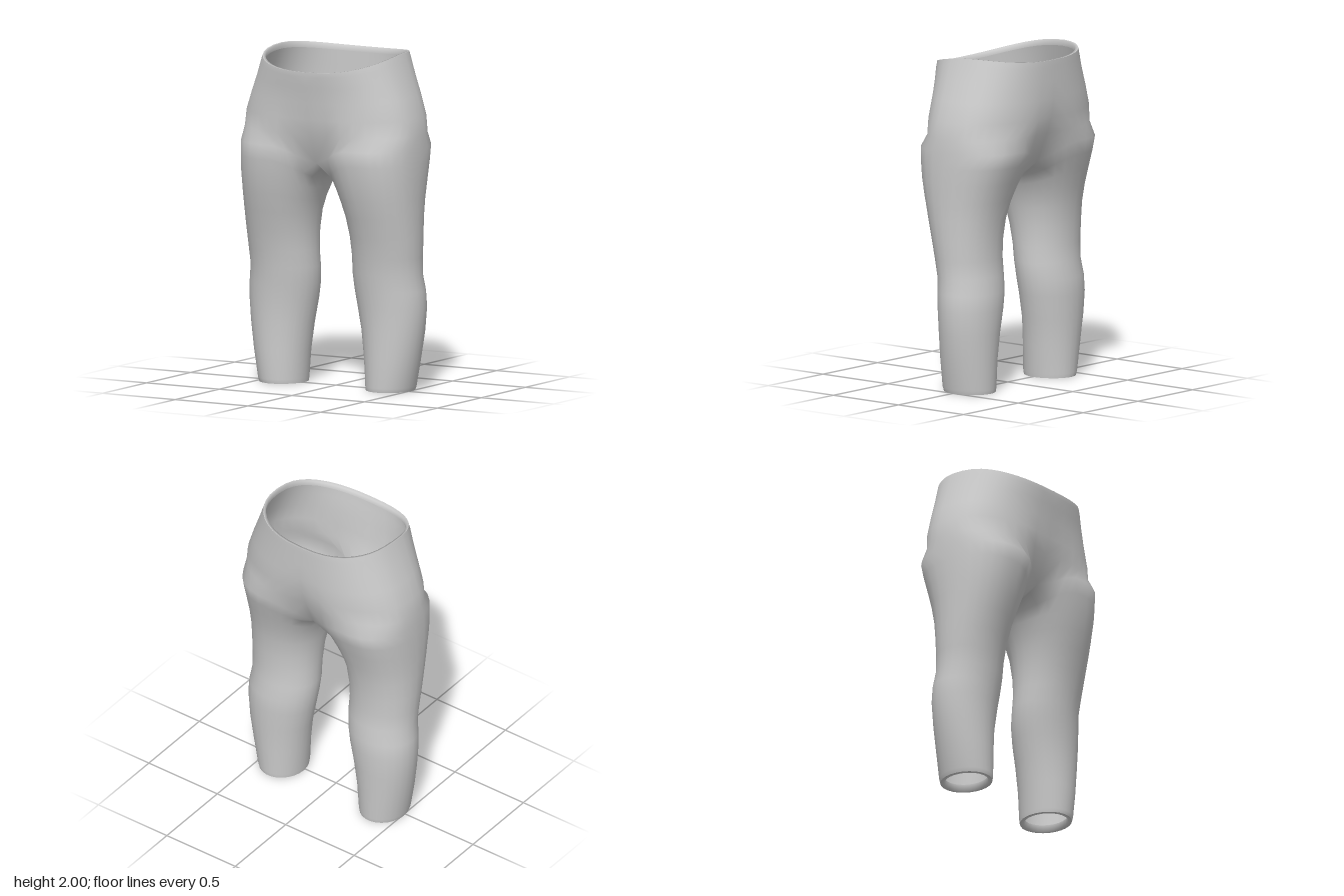
import * as THREE from 'three';
import { mergeGeometries, mergeVertices } from 'three/addons/utils/BufferGeometryUtils.js';

const OUTER = 20;           // steps round the outside, centre front to centre back
const INNER = 6;            // steps round the inner thigh
const RING = OUTER + INNER;
const START = -50;          // angle where the inner thigh meets the centre front

// Leg sections: y, inner x, outer x, front z, back z, inner dip, roundness power
const LEG = [
  [0.005, 0.225, 0.508, 0.145, -0.178, 0, 1],
  [0.03, 0.222, 0.516, 0.15, -0.182, 0, 1],
  [0.2, 0.208, 0.548, 0.15, -0.188, 0, 1],
  [0.36, 0.186, 0.573, 0.147, -0.198, 0, 1],
  [0.5, 0.158, 0.585, 0.152, -0.206, 0, 1],
  [0.6, 0.142, 0.58, 0.162, -0.205, 0, 1],
  [0.7, 0.135, 0.566, 0.172, -0.19, 0, 1],
  [0.8, 0.14, 0.57, 0.187, -0.185, 0, 0.98],
  [0.92, 0.135, 0.575, 0.212, -0.19, 0, 0.96],
  [1.04, 0.12, 0.576, 0.245, -0.204, 0.01, 0.94],
  [1.15, 0.098, 0.578, 0.275, -0.23, 0.04, 0.92],
  [1.26, 0.072, 0.58, 0.3, -0.265, 0.08, 0.89],
  [1.36, 0.042, 0.58, 0.315, -0.3, 0.125, 0.87],
  [1.45, 0, 0.578, 0.324, -0.328, 0.17, 0.85],
];

// Hip sections: y, half width, front z, back z, centre recess
const HIP = [
  [1.53, 0.573, 0.33, -0.345, 0.12],
  [1.63, 0.56, 0.331, -0.355, 0.05],
  [1.75, 0.52, 0.333, -0.357, 0.01],
  [1.87, 0.475, 0.345, -0.357, 0],
  [1.96, 0.444, 0.357, -0.36, 0],
  [2.0, 0.43, 0.358, -0.36, 0],
];

const spow = (v, p) => Math.sign(v) * Math.abs(v) ** p;

function legPoint([y, xi, xo, zf, zb, dip, p], j) {
  const deg = j <= OUTER
    ? START + j * (180 - 2 * START) / OUTER
    : 180 - START + (j - OUTER) * (180 + 2 * START) / INNER;
  const a = THREE.MathUtils.degToRad(deg), s = Math.sin(a);
  let x = (xi + xo) / 2 + (xo - xi) / 2 * spow(s, p);
  if (xi === 0 && (j === 0 || j >= OUTER)) x = 0; // inner thigh closes on the crotch seam
  const z = (zf + zb) / 2 + (zf - zb) / 2 * spow(Math.cos(a), p);
  return [x, y - dip * Math.max(0, -s) ** 2, z];
}

function hipPoint([y, w, zf, zb, recess], a) {
  const s = Math.sin(a), c = Math.cos(a);
  const x = Math.abs(s) < 1e-6 ? 0 : w * spow(s, 0.82);
  const cz = spow(c, 0.82);
  const z = (c > 0 ? zf : -zb) * cz * (1 - recess * Math.exp(-((x / 0.15) ** 2)));
  // the waistline drops at the front and slightly at the back
  const k = THREE.MathUtils.clamp((y - 1.55) / 0.45, 0, 1) ** 1.5;
  return [x, y - k * (0.003 + 0.033 * cz + 0.056 * cz * cz), z];
}

function geometry(positions, index) {
  const g = new THREE.BufferGeometry();
  g.setAttribute('position', new THREE.Float32BufferAttribute(positions, 3));
  g.setIndex(index);
  return g;
}

// One leg and its half of the hips; side = 1 or -1
function halfBody(side) {
  const pos = [], index = [];
  const add = ([x, y, z]) => pos.push(x * side, y, z);
  const quad = (a, b, c, d) => side > 0
    ? index.push(a, b, c, a, c, d) : index.push(a, c, b, a, d, c);
  for (const row of LEG) for (let j = 0; j < RING; j++) add(legPoint(row, j));
  for (const row of HIP) for (let j = 0; j <= OUTER; j++) add(hipPoint(row, Math.PI * j / OUTER));
  for (let i = 0; i < LEG.length - 1; i++) {
    for (let j = 0; j < RING; j++) {
      const a = i * RING, k = (j + 1) % RING;
      quad(a + j, a + k, a + RING + k, a + RING + j);
    }
  }
  const hip0 = LEG.length * RING;
  for (let i = 0; i < HIP.length; i++) {
    const lo = i ? hip0 + (i - 1) * (OUTER + 1) : hip0 - RING;
    const hi = hip0 + i * (OUTER + 1);
    for (let j = 0; j < OUTER; j++) quad(lo + j, lo + j + 1, hi + j + 1, hi + j);
  }
  return geometry(pos, index);
}

// Closed bands through rings of equal length
function loft(rings) {
  const n = rings[0].length, index = [];
  for (let i = 0; i < rings.length - 1; i++) {
    for (let j = 0; j < n; j++) {
      const a = i * n + j, b = i * n + (j + 1) % n;
      index.push(a, b, b + n, a, b + n, a + n);
    }
  }
  const g = geometry(rings.flat(2), index);
  g.computeVertexNormals();
  return g;
}

export function createModel() {
  const model = new THREE.Group();
  model.name = 'trousers';
  const material = new THREE.MeshStandardMaterial({ color: 0xcccccc, side: THREE.DoubleSide });
  const add = (name, geo) => {
    const mesh = new THREE.Mesh(geo, material);
    mesh.name = name;
    model.add(mesh);
    return mesh;
  };

  // Legs and hips, joined smoothly along the centre seam
  const body = mergeVertices(mergeGeometries([halfBody(1), halfBody(-1)]), 1e-4);
  body.computeVertexNormals();
  add('legsAndHips', body);

  // Waist edge turned inwards
  const waistRows = [HIP[HIP.length - 1], [1.998, 0.416, 0.338, -0.342, 0], [1.965, 0.42, 0.332, -0.34, 0]];
  add('waistHem', loft(waistRows.map((row) =>
    Array.from({ length: OUTER * 2 }, (_, j) => hipPoint(row, Math.PI * j / OUTER)))));

  // Ankle edges turned inwards
  const hemRows = [[0, 0], [0, 0.022], [0.04, 0.024]].map(([up, inset]) => {
    const [y, xi, xo, zf, zb, dip, p] = LEG[0];
    return [y + up, xi + inset, xo - inset, zf - inset, zb + inset, dip, p];
  });
  for (const side of [1, -1]) {
    const rings = hemRows.map((row) => Array.from({ length: RING }, (_, j) => {
      const [x, y, z] = legPoint(row, side > 0 ? j : RING - 1 - j);
      return [x * side, y, z];
    }).reverse());
    add(side > 0 ? 'leftAnkleHem' : 'rightAnkleHem', loft(rings));
  }
  return model;
}
